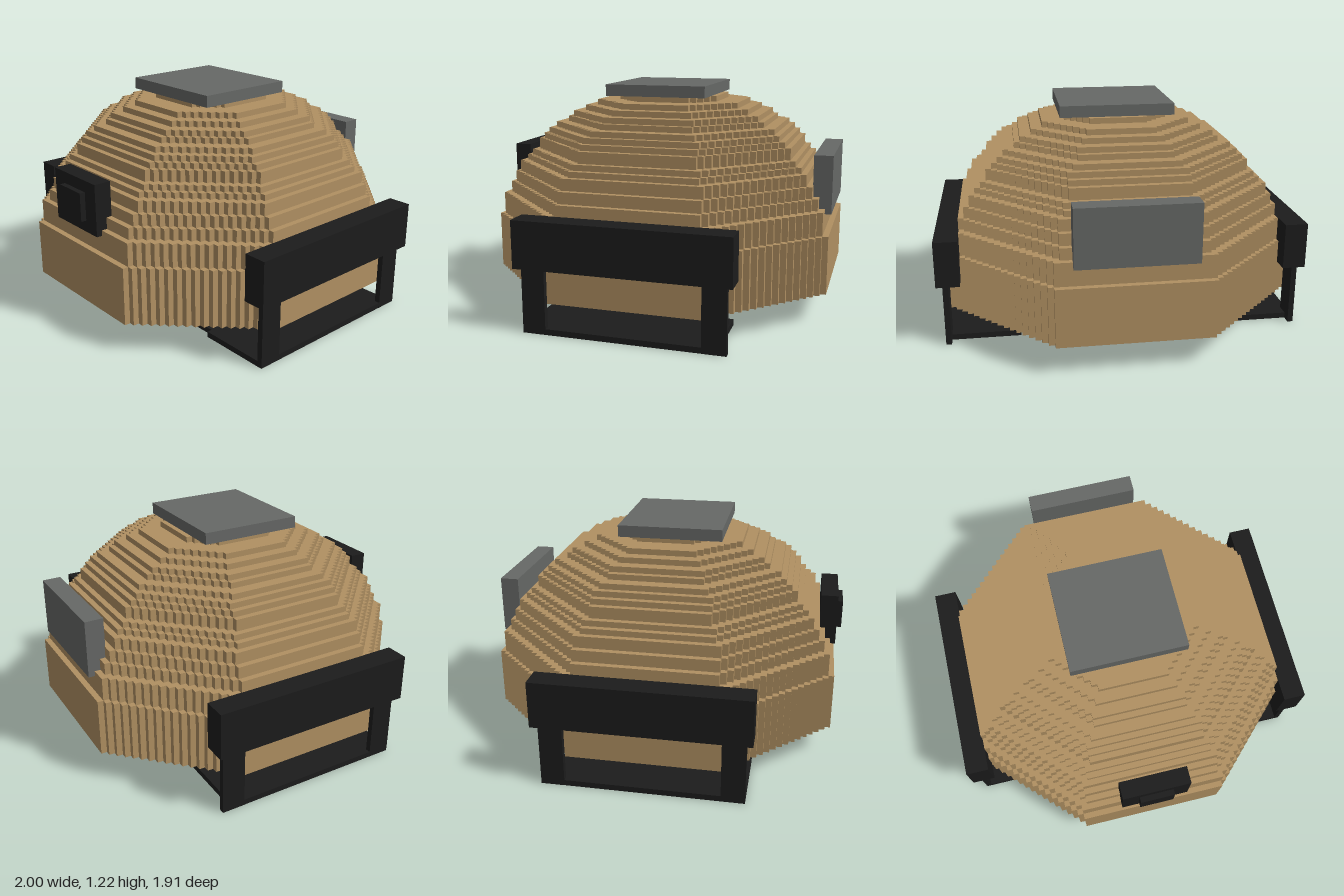
import * as THREE from 'three';

const UNIT = 0.0313;   // plan step of the dome
const LAYER = 0.03125; // layer height
const BASE_Y = 0.157;
const DOME_Z = -0.015;

// half width of each dome layer, in steps, from the rim up
const RADII = [
  ...Array(10).fill(30), 29, 29, 29, 29, 28, 28, 27, 27, 26, 26,
  25, 24, 23, 23, 22, 21, 20, 18, 17, 15, 13, 9,
];

const flatHalf = (a) => Math.round(0.414 * a + 0.9);

// octagon outline, counter-clockwise, whose diagonal sides are staircases
function steppedOctagon(a, f) {
  const corner = [];
  for (let i = 0; i <= a - f; i++) {
    corner.push([f + i, a - i]);
    if (i < a - f) corner.push([f + i, a - i - 1]);
  }
  const back = [...corner].reverse();
  return [
    ...back,
    ...corner.map(([x, y]) => [-x, y]),
    ...back.map(([x, y]) => [-x, -y]),
    ...corner.map(([x, y]) => [x, -y]),
  ].map(([x, y]) => new THREE.Vector2(x * UNIT, y * UNIT));
}

export function createModel() {
  const model = new THREE.Group();
  const mat = (name, color) => {
    const m = new THREE.MeshStandardMaterial({ color });
    m.name = name;
    return m;
  };
  const tan = mat('tan', 0xb09062);
  const grey = mat('grey', 0x666866);
  const black = mat('black', 0x1c1c1c);

  // box given by its min and max on each axis
  function box(name, material, [x0, x1], [y0, y1], [z0, z1]) {
    const mesh = new THREE.Mesh(new THREE.BoxGeometry(x1 - x0, y1 - y0, z1 - z0), material);
    mesh.position.set((x0 + x1) / 2, (y0 + y1) / 2, (z0 + z1) / 2);
    mesh.name = name;
    model.add(mesh);
  }

  // hollow stepped dome, one ring per layer
  const dome = new THREE.Group();
  dome.name = 'dome';
  RADII.forEach((a, k) => {
    const shape = new THREE.Shape(steppedOctagon(a, flatHalf(a)));
    if (k < RADII.length - 1) {
      const n = RADII[k + 1];
      shape.holes.push(new THREE.Path(steppedOctagon(n - 1, flatHalf(n) - 1)));
    }
    const geo = new THREE.ExtrudeGeometry(shape, { depth: LAYER, bevelEnabled: false });
    geo.rotateX(-Math.PI / 2);
    const ring = new THREE.Mesh(geo, tan);
    ring.name = 'domeLayer';
    ring.position.set(0, BASE_Y + k * LAYER, DOME_Z);
    dome.add(ring);
  });
  model.add(dome);

  // panels on the crown, back and front
  box('topPanel', grey, [-0.313, 0.313], [1.157, 1.22], [-0.268, 0.295]);
  box('backPanel', grey, [-0.313, 0.313], [0.567, 0.878], [-0.957, -0.857]);
  box('frontMount', black, [-0.187, 0.187], [0.565, 0.845], [0.83, 0.923]);
  box('frontMountPlate', black, [-0.094, 0.094], [0.628, 0.782], [0.923, 0.953]);

  // side rails, straps and lower plates, mirrored
  for (const s of [1, -1]) {
    const span = (a, b) => (s > 0 ? [a, b] : [-b, -a]);
    box('sideRail', black, span(0.875, 1), [0.347, 0.598], [-0.58, 0.545]);
    box('frontStrap', black, span(0.938, 0.968), [0.031, 0.347], [0.39, 0.513]);
    box('backStrap', black, span(0.938, 0.968), [0, 0.347], [-0.548, -0.423]);
    box('lowerPlate', black, span(0.565, 0.967), [0, 0.031], [-0.497, 0.513]);
  }

  // chin strap and pad
  box('chinStrap', black, [-0.565, 0.565], [0, 0.031], [0.36, 0.485]);
  box('chinPad', black, [-0.155, 0.155], [0, 0.062], [0.303, 0.55]);

  return model;
}
